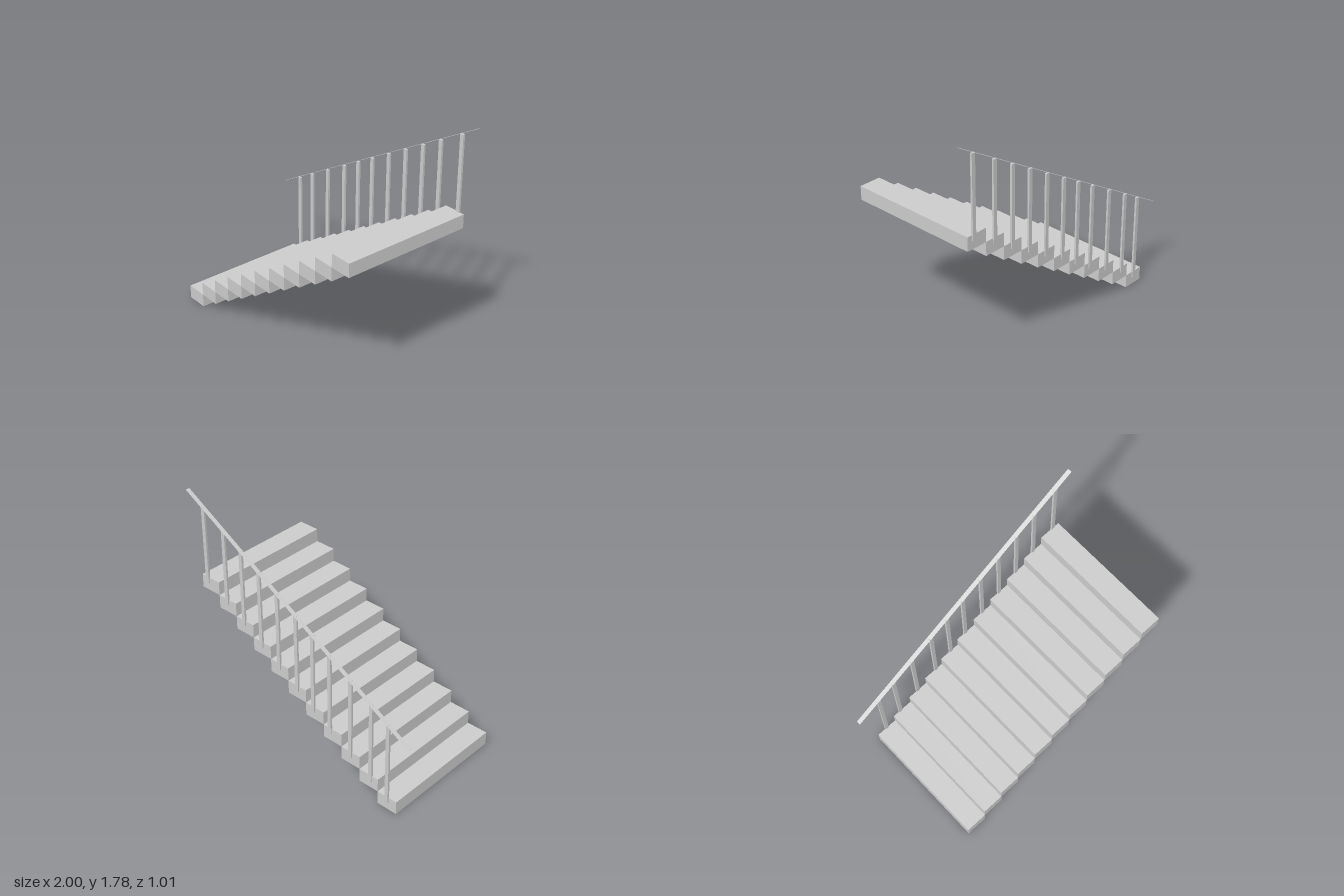
import * as THREE from 'three';

export function createModel() {
  const group = new THREE.Group();
  const mat = new THREE.MeshStandardMaterial({ color: 0xcccccc, flatShading: true });
  const railMat = new THREE.MeshStandardMaterial({ color: 0xcccccc, side: THREE.DoubleSide });

  // Box given by its minimum and maximum corners
  function box(name, [x0, y0, z0], [x1, y1, z1]) {
    const mesh = new THREE.Mesh(new THREE.BoxGeometry(x1 - x0, y1 - y0, z1 - z0), mat);
    mesh.position.set((x0 + x1) / 2, (y0 + y1) / 2, (z0 + z1) / 2);
    mesh.name = name;
    group.add(mesh);
  }

  const startX = -0.888, run = 0.1643, rise = 0.103;
  const back = -0.483, front = 0.507;
  const railStart = new THREE.Vector2(-1, 0.62), railEnd = new THREE.Vector2(1, 1.78);
  const slope = (railEnd.y - railStart.y) / (railEnd.x - railStart.x);

  // Slightly irregular baluster spacing, one per step
  const postX = [-0.805, -0.658, -0.476, -0.289, -0.136, 0.013, 0.182, 0.348, 0.513, 0.676, 0.864];

  postX.forEach((x, i) => {
    // Solid step block
    const left = startX + i * run;
    box('step', [left, i * rise, back], [left + run, (i + 1) * rise, front]);

    // Baluster fixed to the rear end of the step, reaching up to the handrail
    const top = railStart.y + (x - railStart.x) * slope - 0.006;
    box('baluster', [x - 0.0145, (i + 1) * rise - 0.043, -0.491], [x + 0.0145, top, -0.476]);
  });

  // Handrail: thin flat strip following the slope
  const length = railStart.distanceTo(railEnd);
  const rail = new THREE.Mesh(new THREE.PlaneGeometry(length, 0.032).rotateX(-Math.PI / 2), railMat);
  rail.rotation.z = Math.atan(slope);
  rail.position.set(0, (railStart.y + railEnd.y) / 2, -0.491);
  rail.name = 'handrail';
  group.add(rail);

  return group;
}
